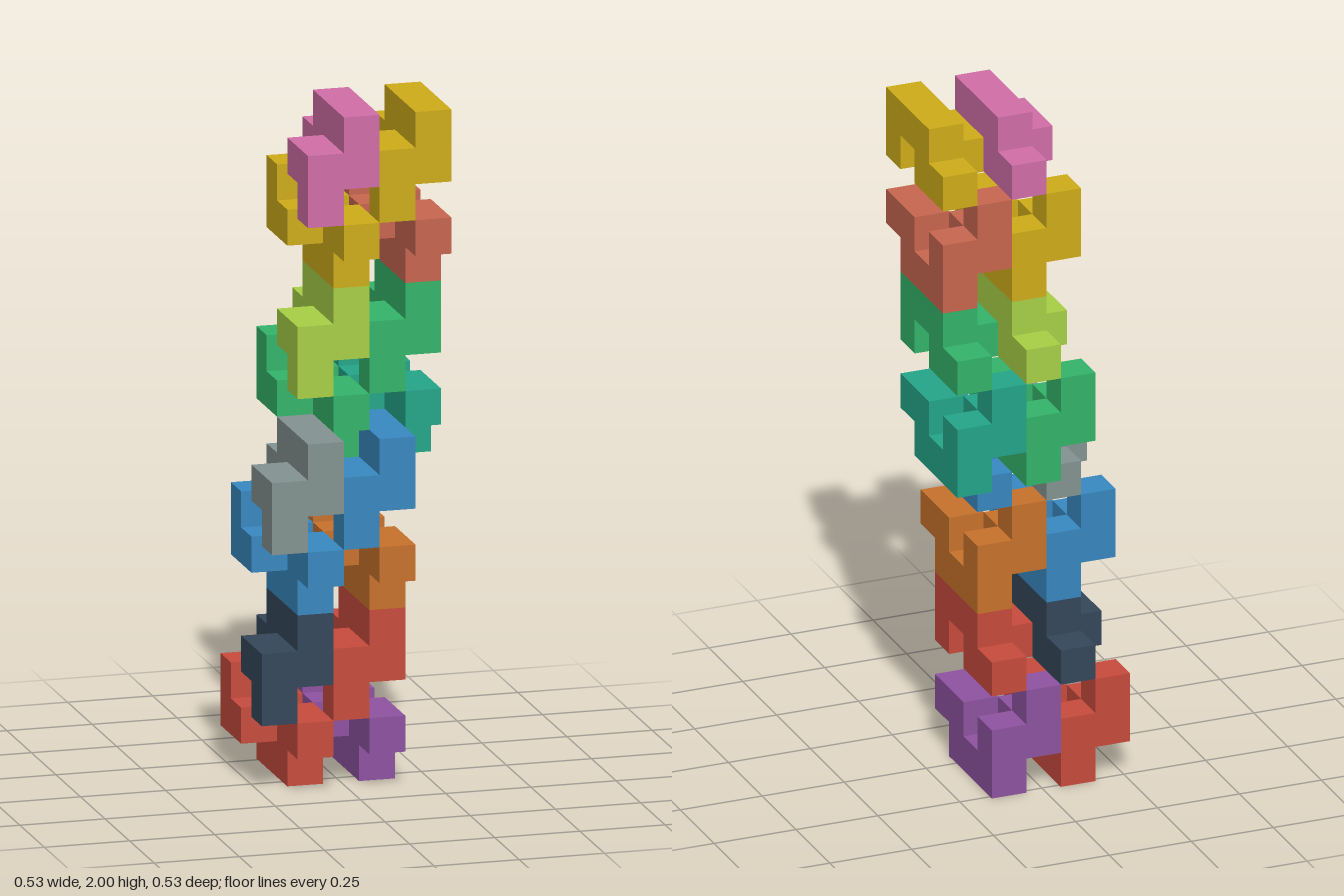
import * as THREE from 'three';
import { mergeGeometries } from 'three/addons/utils/BufferGeometryUtils.js';

const U = 2 / 19; // one cube cell; everything below is counted in cells

// Outline in (z, y), extruded one cell along x and ending at x = right
function slab(points, right) {
  const shape = new THREE.Shape(points.map(([z, y]) => new THREE.Vector2(z, y)));
  const geo = new THREE.ExtrudeGeometry(shape, { depth: 1, bevelEnabled: false });
  return geo.rotateY(-Math.PI / 2).translate(right, 0, 0);
}

// One puzzle piece: notched outer layer plus an L-shaped inner layer
function pieceGeometry() {
  const outer = slab([[0, 0], [3, 0], [3, 1], [4, 1], [4, 2], [2, 2], [2, 1], [1, 1], [1, 2], [0, 2]], 0);
  const inner = slab([[0, 1], [2, 1], [2, 2], [1, 2], [1, 3], [0, 3]], -1);
  return mergeGeometries([outer, inner]).scale(U, U, U);
}

export function createModel() {
  const group = new THREE.Group();
  const geo = pieceGeometry();

  // Levels bottom to top: base height, z of the piece's corner, upside down or not
  const levels = [
    { y: 0, z: -2.5, flip: false },
    { y: 2, z: 1.5, flip: true },
    { y: 5, z: -1.5, flip: false },
    { y: 7, z: 2.5, flip: true },
  ];
  // Colours of the two strands, bottom to top
  const strands = [
    { name: 'rightStrand', x: -0.5, colors: [0xc84b3d, 0x34475a, 0x3888c0, 0x839391, 0x33b469, 0xa8d046, 0xcfac18, 0xd16ea8] },
    { name: 'leftStrand', x: 1.5, colors: [0x8e53a1, 0xc84b3d, 0xc8722b, 0x3888c0, 0x23a68a, 0x33b469, 0xc8664f, 0xcfac18] },
  ];

  for (const { name, x, colors } of strands) {
    const strand = new THREE.Group();
    strand.name = name;
    colors.forEach((color, i) => {
      const { y, z, flip } = levels[i % 4];
      const half = Math.floor(i / 4); // the upper half repeats, one cell to the side
      const piece = new THREE.Mesh(geo, new THREE.MeshStandardMaterial({ color }));
      piece.name = `puzzlePiece${i + 1}`;
      piece.position.set(x + half, y + 9 * half + (flip ? 3 : 0), z).multiplyScalar(U);
      if (flip) piece.rotation.x = Math.PI;
      strand.add(piece);
    });
    group.add(strand);
  }
  return group;
}
